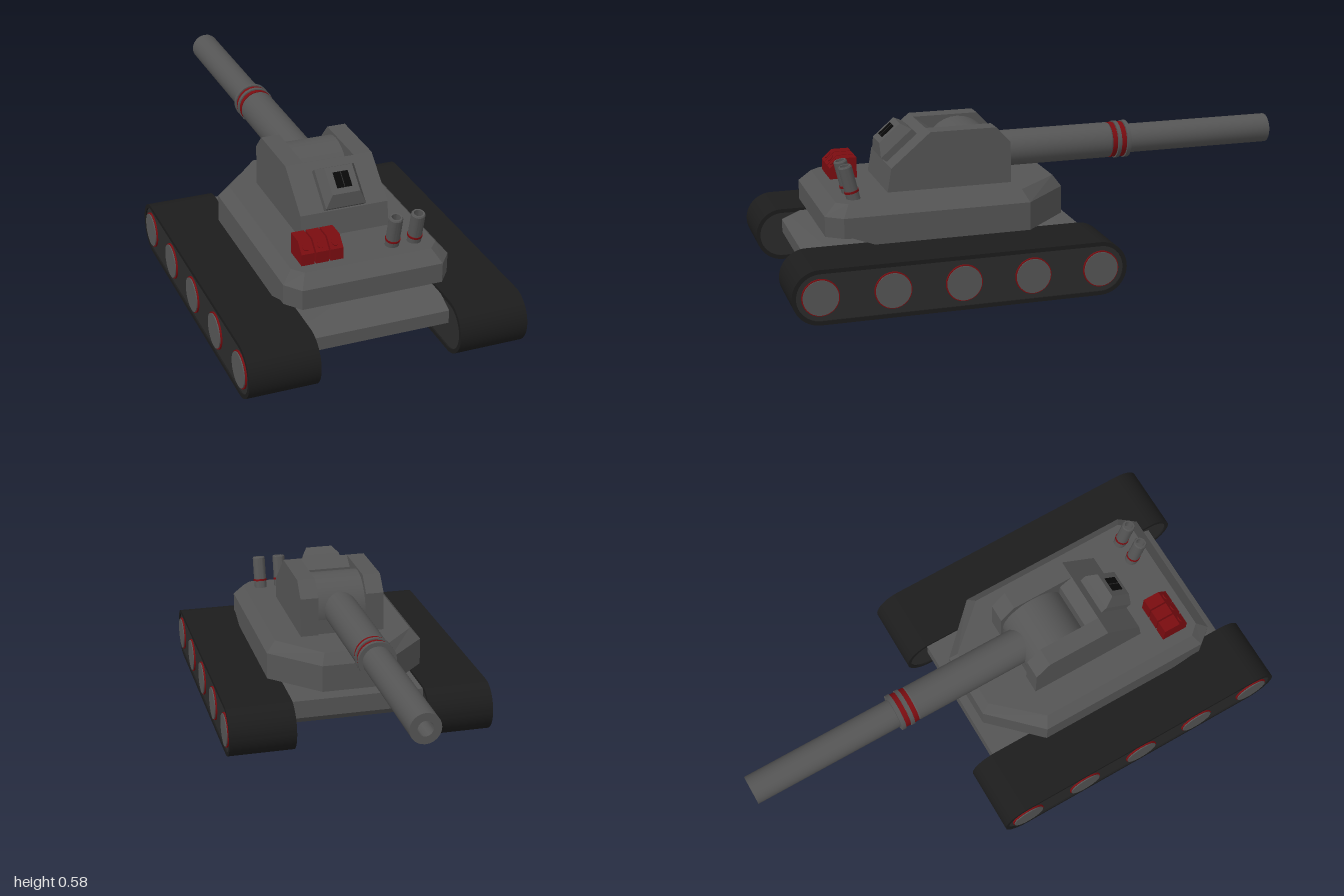
import * as THREE from 'three';
import { toCreasedNormals } from 'three/addons/utils/BufferGeometryUtils.js';

const mat = (color, flatShading = false) =>
  new THREE.MeshStandardMaterial({ color, flatShading, side: THREE.DoubleSide });
const STEEL = mat(0x555555), FLAT = mat(0x555555, true), TREAD = mat(0x1c1c1c), FRAME = mat(0x2b2b2b);
const RED = mat(0x7a0c10), BLACK = mat(0x080808), LIGHT = mat(0xcccccc);

function add(parent, name, geometry, material, x = 0, y = 0, z = 0) {
  const mesh = new THREE.Mesh(geometry, material);
  mesh.name = name;
  mesh.position.set(x, y, z);
  parent.add(mesh);
  return mesh;
}

// Side profile given as [z, y] points or a Shape, extruded from x0 to x1
function sideExtrude(profile, x0, x1) {
  const shape = Array.isArray(profile)
    ? new THREE.Shape(profile.map(([z, y]) => new THREE.Vector2(z, y))) : profile;
  const g = new THREE.ExtrudeGeometry(shape, { depth: x1 - x0, bevelEnabled: false, curveSegments: 16 });
  return toCreasedNormals(g.rotateY(-Math.PI / 2).translate(x1, 0, 0), 0.5);
}

// Closed solid through equal-sized loops of [x, y, z] points
function loft(rings) {
  const n = rings[0].length, index = [], last = (rings.length - 1) * n;
  for (let r = 0; r < rings.length - 1; r++) for (let j = 0; j < n; j++) {
    const a = r * n + j, b = r * n + (j + 1) % n;
    index.push(a, b, b + n, a, b + n, a + n);
  }
  for (let j = 1; j < n - 1; j++) index.push(0, j + 1, j, last, last + j, last + j + 1);
  const g = new THREE.BufferGeometry();
  g.setAttribute('position', new THREE.Float32BufferAttribute(rings.flat(2), 3));
  g.setIndex(index);
  const out = g.toNonIndexed();
  out.computeVertexNormals();
  return out;
}

// Turned part along -z; profile points are [radius, -z]
function turned(profile) {
  const g = new THREE.LatheGeometry(profile.map(([r, d]) => new THREE.Vector2(r, d)), 24);
  return toCreasedNormals(g.rotateX(-Math.PI / 2), 0.5);
}

// Long rounded outline of a track, built on any curve path
function stadium(path, r) {
  path.moveTo(-0.12, 0.1 - r);
  path.lineTo(0.9, 0.1 - r);
  path.absarc(0.9, 0.1, r, -Math.PI / 2, Math.PI / 2, false);
  path.lineTo(-0.12, 0.1 + r);
  path.absarc(-0.12, 0.1, r, Math.PI / 2, Math.PI * 1.5, false);
  return path;
}

function makeTrack(side) {
  const track = new THREE.Group();
  track.name = side > 0 ? 'leftTrack' : 'rightTrack';
  const span = (a, b) => side > 0 ? [a, b] : [-b, -a];
  const belt = stadium(new THREE.Shape(), 0.1);
  belt.holes.push(stadium(new THREE.Path(), 0.085));
  add(track, 'trackBelt', sideExtrude(belt, ...span(0.257, 0.513)), TREAD);
  add(track, 'trackFrame', sideExtrude(stadium(new THREE.Shape(), 0.086), ...span(0.262, 0.508)), FRAME);
  for (let i = 0; i < 5; i++) {
    const z = 0.9 - i * 0.255;
    const disc = (r, w) => new THREE.CylinderGeometry(r, r, w, 28).rotateZ(Math.PI / 2);
    add(track, 'wheelRim', disc(0.067, 0.012), RED, side * 0.508, 0.1, z);
    add(track, 'roadWheel', disc(0.063, 0.02), STEEL, side * 0.508, 0.1, z);
  }
  return track;
}

function makeTurretBase() {
  // Half outline from front to back, mirrored to a full loop
  const ring = (y, half) => [...half, ...half.slice().reverse().map(([x, z]) => [-x, z])]
    .map(([x, z]) => [x, y, z]);
  const outer = [[0.26, 0.83], [0.307, 0.77], [0.307, 0.08], [0.13, -0.1]];
  const clip = (limit) => [[0.26, limit], [0.307, limit], [0.307, 0.08], [0.13, -0.1]];
  return loft([
    ring(0.205, clip(0.66)), ring(0.235, clip(0.74)), ring(0.236, outer), ring(0.31, outer),
    ring(0.352, [[0.235, 0.785], [0.27, 0.745], [0.27, 0.1], [0.115, -0.07]]),
  ]);
}

function makeSight() {
  const sight = new THREE.Group();
  sight.name = 'sight';
  const ring = (w, low, high, n) => [[w, low, n], [w, high, n], [-w, high, n], [-w, low, n]];
  add(sight, 'sightHousing', loft([
    ring(0.075, -0.075, 0.075, -0.02), ring(0.075, -0.086, 0.068, 0.03), ring(0.052, -0.052, 0.052, 0.07),
  ]), FLAT);
  add(sight, 'sightWindow', new THREE.BoxGeometry(0.056, 0.06, 0.01), BLACK, 0, 0, 0.068);
  add(sight, 'windowBar', new THREE.BoxGeometry(0.003, 0.06, 0.01), FRAME, 0, 0, 0.0685);
  sight.position.set(0, 0.492, 0.495);
  sight.rotation.x = -0.86;
  return sight;
}

function makeGun() {
  const gun = new THREE.Group();
  gun.name = 'gun';
  add(gun, 'barrel', turned([
    [0, -0.2], [0.068, -0.2], [0.068, 0.33], [0.065, 0.335], [0.065, 0.4], [0.056, 0.405],
    [0.056, 1], [0.028, 1], [0.028, 0.9], [0, 0.9],
  ]), STEEL);
  [[0.335, 0.353, RED, 0.068], [0.355, 0.369, STEEL, 0.072],
    [0.371, 0.39, RED, 0.068], [0.392, 0.408, STEEL, 0.072]].forEach(([a, b, m, r]) =>
    add(gun, 'barrelBand', turned([[0.05, a], [r, a], [r, b], [0.05, b]]), m));
  gun.position.y = 0.442;
  return gun;
}

function makeLauncher(x) {
  const tube = new THREE.Group();
  tube.name = 'smokeLauncher';
  const profile = [[0, 0], [0.025, 0], [0.025, 0.125], [0.022, 0.13], [0.016, 0.13], [0.016, 0.1], [0, 0.1]];
  add(tube, 'launcherTube', toCreasedNormals(
    new THREE.LatheGeometry(profile.map((p) => new THREE.Vector2(...p)), 18), 0.5), STEEL);
  add(tube, 'launcherBand', new THREE.CylinderGeometry(0.027, 0.027, 0.008, 18), RED, 0, 0.033, 0);
  tube.position.set(x, 0.348, 0.712);
  tube.rotation.x = 0.23;
  return tube;
}

export function createModel() {
  const tank = new THREE.Group();
  tank.name = 'tank';

  // Hull and running gear
  add(tank, 'hull', sideExtrude([[0.9, 0.11], [0.9, 0.16], [0.83, 0.19], [-0.13, 0.19], [-0.13, 0.12],
    [0.06, 0.015], [0.7, 0.015]], -0.258, 0.258), STEEL);
  tank.add(makeTrack(1), makeTrack(-1));

  // Turret
  const turret = new THREE.Group();
  turret.name = 'turret';
  tank.add(turret);
  add(turret, 'turretRing', new THREE.CylinderGeometry(0.23, 0.23, 0.03, 40), LIGHT, 0, 0.198, 0.4);
  add(turret, 'turretBase', makeTurretBase(), FLAT);

  // Armoured cheeks, front plate and the rounded gun mount between them
  const cheek = sideExtrude([[0.58, 0.345], [0.563, 0.44], [0.415, 0.565], [0.165, 0.565],
    [0.11, 0.505], [0.11, 0.345]], 0.095, 0.165);
  add(turret, 'leftCheek', cheek, STEEL);
  add(turret, 'rightCheek', cheek, STEEL, -0.26);
  add(turret, 'frontPlate', sideExtrude([[0.58, 0.345], [0.563, 0.44], [0.415, 0.565], [0.365, 0.53],
    [0.365, 0.345]], -0.095, 0.095), STEEL);
  add(turret, 'gunMount', new THREE.CylinderGeometry(0.127, 0.127, 0.19, 32).rotateZ(Math.PI / 2),
    STEEL, 0, 0.43, 0.245);
  add(turret, 'gunMountBase', new THREE.BoxGeometry(0.19, 0.08, 0.25), STEEL, 0, 0.385, 0.245);
  turret.add(makeGun(), makeSight());

  // Deck fittings
  const box = sideExtrude([[0.742, 0.345], [0.742, 0.395], [0.705, 0.43], [0.64, 0.43], [0.64, 0.345]],
    -0.0235, 0.0235);
  for (const x of [-0.206, -0.153, -0.1]) {
    add(turret, 'redBox', box, RED, x);
    const lens = add(turret, 'boxLens', new THREE.CylinderGeometry(0.014, 0.014, 0.006, 16), RED, x, 0.413, 0.724);
    lens.rotation.x = 0.8;
  }
  turret.add(makeLauncher(0.118), makeLauncher(0.202));
  return tank;
}
